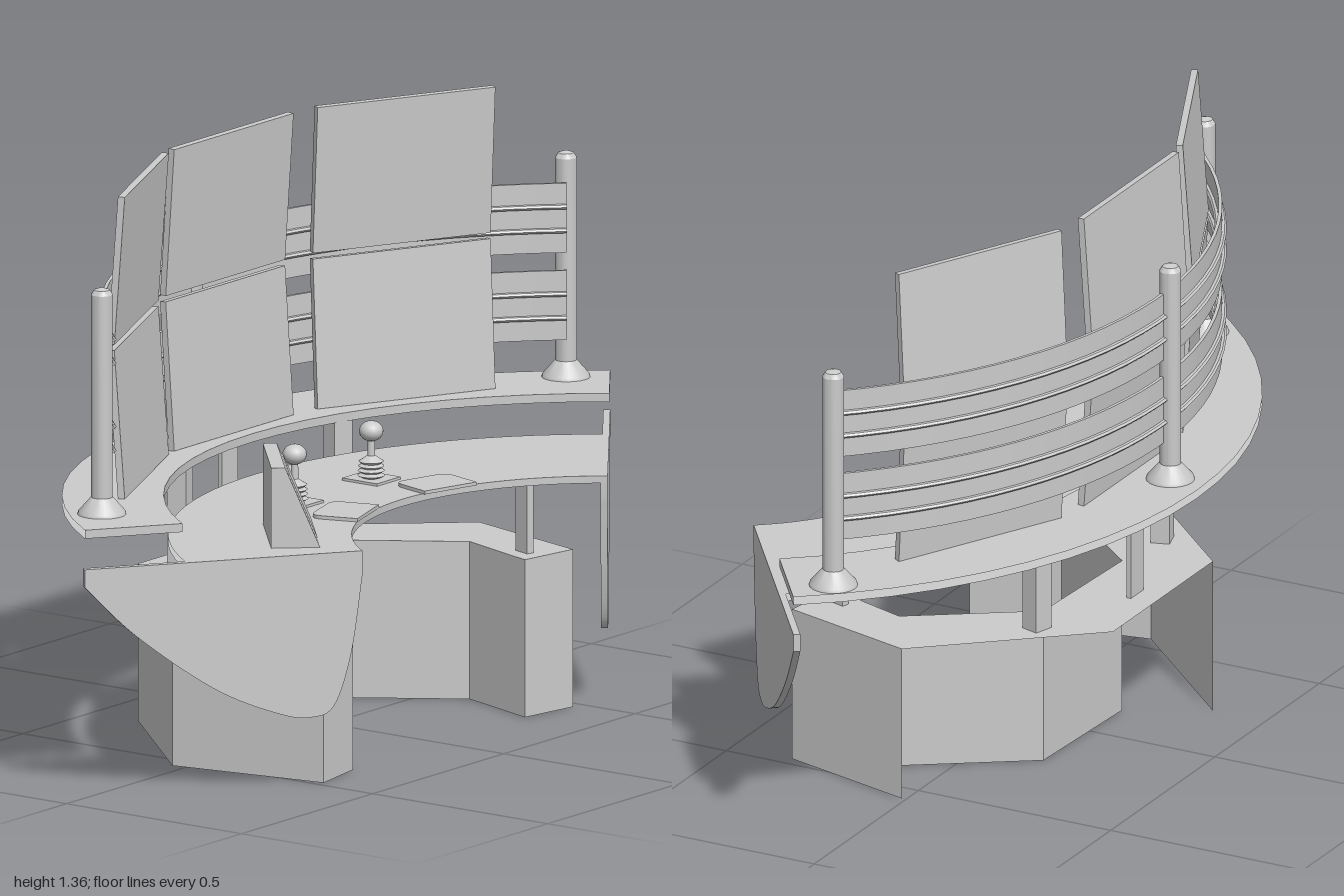
import * as THREE from 'three';
import { toCreasedNormals } from 'three/addons/utils/BufferGeometryUtils.js';

const CX = 0.79;          // centre of the arc the whole desk follows
const A = 0.9365;         // half angle of the arc
const R_OUT = 1.243, R_IN = 0.58;

export function createModel() {
  const root = new THREE.Group();
  const mat = new THREE.MeshStandardMaterial({ color: 0xcccccc, side: THREE.DoubleSide });

  function add(name, geo, x = 0, y = 0, z = 0, ry = 0, parent = root) {
    const m = new THREE.Mesh(geo, mat);
    m.name = name;
    m.position.set(x, y, z);
    m.rotation.y = ry;
    parent.add(m);
    return m;
  }
  const box = (w, h, d) => new THREE.BoxGeometry(w, h, d);
  const V = (x, y) => new THREE.Vector2(x, y);
  const polar = (r, a) => [CX - r * Math.cos(a), r * Math.sin(a)];

  // Sweep a (radius, height) profile along the arc from angle a0 to a1
  function arc(name, profile, a0, a1, segs) {
    const pts = profile.map(p => V(p[0], p[1]));
    const geo = new THREE.LatheGeometry(pts, segs, 1.5 * Math.PI + a0, a1 - a0);
    return add(name, toCreasedNormals(geo, 0.5), CX, 0, 0);
  }
  const slab = (r0, r1, y0, y1) => [[r1, y0], [r0, y0], [r0, y1], [r1, y1]];
  const closed = p => [...p, p[0]];

  // Desk top and raised rear shelf (open along the outer rim)
  arc('deskTop', slab(R_IN, 1.0, 0.54, 0.557), -A, A, 32);
  arc('rearShelf', slab(1.01, R_OUT, 0.63, 0.65), -A, A, 20);
  for (const s of [-1, 1]) {
    const [x, z] = polar((1.01 + R_OUT) / 2, s * A);
    add('shelfEnd', new THREE.PlaneGeometry(R_OUT - 1.01, 0.02), x, 0.64, z, s * A);
  }

  // Curved side panels at both ends of the desk
  const L = R_OUT - R_IN;
  const side = new THREE.Shape();
  side.moveTo(0, 0.557);
  side.lineTo(0, 0.515);
  side.splineThru([V(0.19 * L, 0.39), V(0.47 * L, 0.255), V(0.7 * L, 0.187), V(0.82 * L, 0.174),
    V(0.9 * L, 0.2), V(0.96 * L, 0.32), V(L, 0.5)]);
  side.lineTo(L, 0.557);
  for (const s of [-1, 1]) {
    const geo = new THREE.ExtrudeGeometry(side, { depth: 0.016, bevelEnabled: false, curveSegments: 24 });
    geo.translate(0, 0, s > 0 ? -0.016 : 0);
    const [x, z] = polar(R_OUT, s * A);
    add('sidePanel', toCreasedNormals(geo, 0.5), x, 0, z, s * A);
  }

  // Faceted C-shaped pedestal: thin walls, open at the rear, with a top plate
  const H = 0.37;
  const plan = [[-0.365, 0.24], [-0.035, 0.55], [0.345, 0.48], [0.32, 0.335], [0.11, 0.39], [-0.18, 0.145],
    [-0.165, -0.205], [0.11, -0.39], [0.32, -0.32], [0.345, -0.47], [0.01, -0.56], [-0.365, -0.24]];
  const pedestal = new THREE.Group();
  pedestal.name = 'pedestal';
  root.add(pedestal);
  for (let i = 0; i < plan.length - 2; i++) {
    const [x0, z0] = plan[i], [x1, z1] = plan[i + 1];
    add('pedestalWall', new THREE.PlaneGeometry(Math.hypot(x1 - x0, z1 - z0), H),
      (x0 + x1) / 2, H / 2, (z0 + z1) / 2, Math.atan2(z0 - z1, x1 - x0), pedestal);
  }
  const top = new THREE.ShapeGeometry(new THREE.Shape(plan.map(p => V(p[0], -p[1]))));
  add('pedestalTop', top.rotateX(-Math.PI / 2), 0, H, 0, 0, pedestal);

  // Supports between pedestal, shelf and desk
  add('shelfLeg', box(0.012, 0.27, 0.06), -0.3, 0.505, -0.015);
  for (const s of [-1, 1]) {
    add('shelfLeg', box(0.045, 0.27, 0.05), -0.2, 0.505, s * 0.3, s * 0.3);
    add('deskLeg', box(0.045, 0.18, 0.018), 0.27, 0.455, s * 0.385, s * 0.3);
  }

  // Posts with flared feet and domed caps
  const postProfile = [[0, 0.65], [0.056, 0.65], [0.054, 0.657], [0.025, 0.69], [0.025, 1.165],
    [0.018, 1.176], [0, 1.182]].map(p => V(p[0], p[1]));
  for (const [x, z] of [[0.01, -0.89], [-0.365, 0.035], [-0.015, 0.845]]) {
    add('post', toCreasedNormals(new THREE.LatheGeometry(postProfile, 24), 0.5), x, 0, z);
  }

  // Curved rail bands between the posts, each with two rods
  for (const y of [0.745, 0.95]) {
    arc('railBand', closed(slab(1.143, 1.151, y, y + 0.163)), -0.85, 0.81, 28);
    for (const dy of [0.052, 0.108]) {
      const rod = [];
      for (let i = 0; i <= 8; i++) {
        const t = i / 8 * Math.PI * 2;
        rod.push([1.147 + 0.014 * Math.cos(t), y + dy + 0.007 * Math.sin(t)]);
      }
      arc('railRod', rod, -0.85, 0.81, 28);
    }
  }

  // Three columns of stacked screens, upper and lower tilted towards the operator
  for (const [x, z, ry] of [[-0.17, 0.5, 0.42], [-0.275, 0.022, 0], [-0.162, -0.497, -0.46]]) {
    const column = new THREE.Group();
    column.name = 'screenColumn';
    column.position.set(x, 0, z);
    column.rotation.y = ry;
    root.add(column);
    for (const s of [-1, 1]) {
      const panel = add('screen', box(0.016, 0.348, 0.455), 0, 1.005 + s * 0.181, 0, 0, column);
      panel.rotation.z = -s * 0.07;
    }
  }

  // Joysticks: bellows, stem and knob
  for (const z of [-0.112, 0.18]) {
    const stick = new THREE.Group();
    stick.name = 'joystick';
    stick.position.set(0.037, 0.557, z);
    root.add(stick);
    add('basePlate', box(0.1, 0.006, 0.09), 0, 0.003, 0, 0, stick);
    const bellows = [V(0, 0.004)];
    for (let i = 0; i < 4; i++) {
      const y = 0.006 + i * 0.011;
      bellows.push(V(0.022, y), V(0.032 - i * 0.001, y + 0.0055));
    }
    bellows.push(V(0.02, 0.05), V(0.009, 0.058), V(0.008, 0.1), V(0, 0.1));
    add('bellows', toCreasedNormals(new THREE.LatheGeometry(bellows, 20), 0.5), 0, 0, 0, 0, stick);
    add('knob', new THREE.SphereGeometry(0.028, 18, 12), 0, 0.115, 0, 0, stick).scale.y = 0.85;
  }

  // Rounded wrist pads at the inner edge of the desk
  const pad = new THREE.Shape();
  const w = 0.075;
  pad.moveTo(-0.055, -w);
  pad.lineTo(0.03, -w);
  pad.quadraticCurveTo(0.06, -w, 0.06, -w + 0.03);
  pad.lineTo(0.06, w - 0.03);
  pad.quadraticCurveTo(0.06, w, 0.03, w);
  pad.lineTo(-0.055, w);
  for (const [z, ry] of [[-0.155, -0.27], [0.19, 0.31]]) {
    const geo = new THREE.ExtrudeGeometry(pad, { depth: 0.008, bevelEnabled: false });
    geo.rotateX(-Math.PI / 2);
    geo.rotateY(Math.PI);
    add('wristPad', geo, 0.19, 0.557, z, ry);
  }

  // Wedge-shaped side display standing on the desk
  const display = new THREE.Group();
  display.name = 'sideDisplay';
  display.position.set(0.1, 0.555, 0.385);
  display.rotation.y = 0.72;
  root.add(display);
  const wedge = new THREE.Shape([V(0, 0), V(0.113, 0), V(0.032, 0.19), V(0, 0.19)]);
  add('displayBody', new THREE.ExtrudeGeometry(wedge, { depth: 0.25, bevelEnabled: false }), 0, 0, 0, 0, display);
  add('displayGlass', box(0.005, 0.165, 0.21), 0.0735, 0.095, 0.125, 0, display)
    .rotation.z = Math.atan2(0.081, 0.19);

  return root;
}
